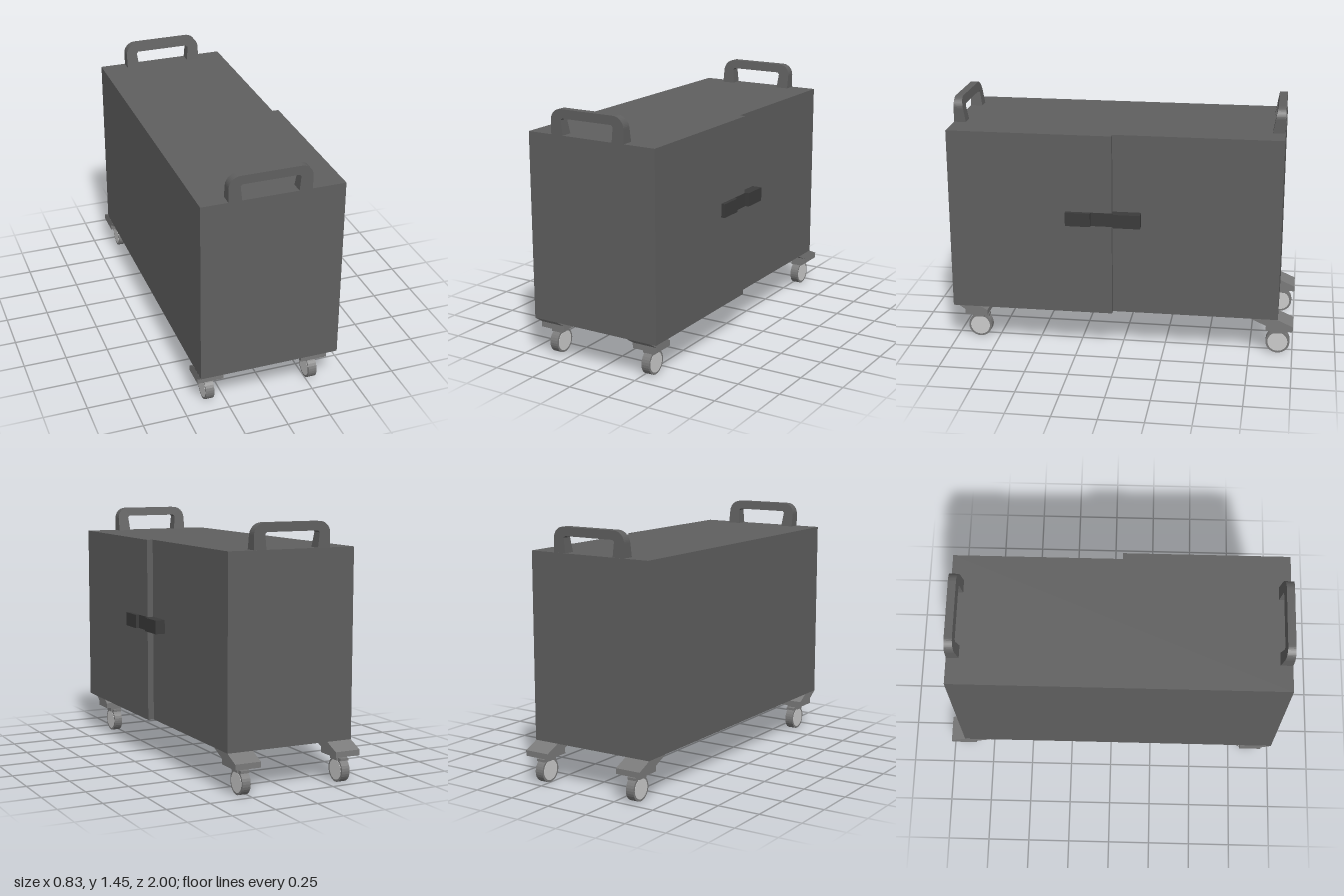
import * as THREE from 'three';

const mat = (color) => new THREE.MeshStandardMaterial({ color, flatShading: true });
const bodyMat = mat(0x5f5f5f), latchMat = mat(0x3b3b3b), mountMat = mat(0x7a7a7a);
const hubMat = new THREE.MeshStandardMaterial({ color: 0xcccccc });

function add(parent, name, geometry, material, x = 0, y = 0, z = 0) {
  const mesh = new THREE.Mesh(geometry, material);
  mesh.name = name;
  mesh.position.set(x, y, z);
  parent.add(mesh);
  return mesh;
}

const polygon = (pts) => new THREE.Shape(pts.map(([a, b]) => new THREE.Vector2(a, b)));

// Plan outline in [x, z], raised from y0 to y1
function planPrism(pts, y0, y1) {
  const geo = new THREE.ExtrudeGeometry(polygon(pts.map(([x, z]) => [x, -z])), { depth: y1 - y0, bevelEnabled: false });
  return geo.rotateX(-Math.PI / 2).translate(0, y0, 0);
}

// Side outline in [z, y], centred on x = 0
function sidePrism(pts, width) {
  const geo = new THREE.ExtrudeGeometry(polygon(pts), { depth: width, bevelEnabled: false });
  return geo.translate(0, 0, -width / 2).rotateY(-Math.PI / 2);
}

// Rounded carrying handle; the inner side leans toward the flat outer side (z = 0)
function handleGeometry() {
  const r = 0.065, l = -0.265, w = 0.2, top = 1.445, base = 1.3;
  const s = new THREE.Shape();
  s.moveTo(l, base);
  s.lineTo(-0.19, base);
  s.lineTo(-0.2, 1.385);
  s.lineTo(-0.19, 1.395);
  s.lineTo(0.122, 1.395);
  s.lineTo(0.133, 1.385);
  s.lineTo(0.125, base);
  s.lineTo(w, base);
  s.lineTo(w, top - r);
  s.absarc(w - r, top - r, r, 0, Math.PI / 2, false);
  s.lineTo(l + r, top);
  s.absarc(l + r, top - r, r, Math.PI / 2, Math.PI, false);
  s.lineTo(l, base);
  const geo = new THREE.ExtrudeGeometry(s, { depth: 1, bevelEnabled: false, curveSegments: 6 });
  const p = geo.attributes.position;
  for (let i = 0; i < p.count; i++) {
    const t = (p.getY(i) - base) / (top - base);
    p.setZ(i, (p.getZ(i) - 1) * (0.07 - 0.025 * t));
  }
  geo.computeVertexNormals();
  return geo;
}

// Swivel block, fender tab and wheel, hung below a mount at y = 0.158
function caster(x, z) {
  const g = new THREE.Group();
  g.name = 'caster';
  g.position.set(x, 0, z);
  add(g, 'swivel', new THREE.BoxGeometry(0.07, 0.032, 0.064), mountMat, 0, 0.143, 0.006);
  add(g, 'fenderTab', new THREE.BoxGeometry(0.05, 0.014, 0.05), mountMat, 0, 0.134, -0.03);
  const tyre = new THREE.CylinderGeometry(0.07, 0.07, 0.05, 28).rotateZ(Math.PI / 2);
  add(g, 'tyre', tyre, mountMat, 0, 0.07, 0);
  const hub = new THREE.CylinderGeometry(0.058, 0.058, 0.053, 28).rotateZ(Math.PI / 2);
  add(g, 'hub', hub, hubMat, 0, 0.07, 0);
  return g;
}

export function createModel() {
  const model = new THREE.Group();
  model.name = 'storageCart';

  // Cabinet, with the front door standing proud of the rear one
  add(model, 'cabinet', planPrism([
    [-0.417, 1], [0.39, 1], [0.39, 0.05], [0.354, 0.05], [0.354, -0.912], [-0.417, -0.912],
  ], 0.23, 1.302), bodyMat);

  // Door latch bridging the step
  add(model, 'latch', planPrism([
    [0.35, 0.317], [0.413, 0.317], [0.413, 0.172], [0.393, 0.172],
    [0.393, 0.04], [0.413, 0.04], [0.413, -0.115], [0.35, -0.115],
  ], 0.768, 0.848), latchMat);

  // Handles at both ends
  const handle = handleGeometry();
  add(model, 'frontHandle', handle, bodyMat, 0, 0, 1);
  add(model, 'rearHandle', handle, bodyMat, 0, 0, -0.91).scale.z = -1;

  // Sloped mounts and casters at the four corners
  const ends = [
    { name: 'frontMount', wheelZ: 0.866, outline: [[1, 0.23], [0.871, 0.23], [0.807, 0.19], [0.807, 0.158], [0.941, 0.158], [0.941, 0.19]] },
    { name: 'rearMount', wheelZ: -0.914, outline: [[-0.753, 0.23], [-0.909, 0.23], [-1, 0.19], [-1, 0.158], [-0.844, 0.158], [-0.844, 0.19]] },
  ];
  for (const { name, wheelZ, outline } of ends) {
    for (const x of [-0.341, 0.277]) {
      add(model, name, sidePrism(outline, 0.153), mountMat, x);
      model.add(caster(x, wheelZ));
    }
  }
  return model;
}
